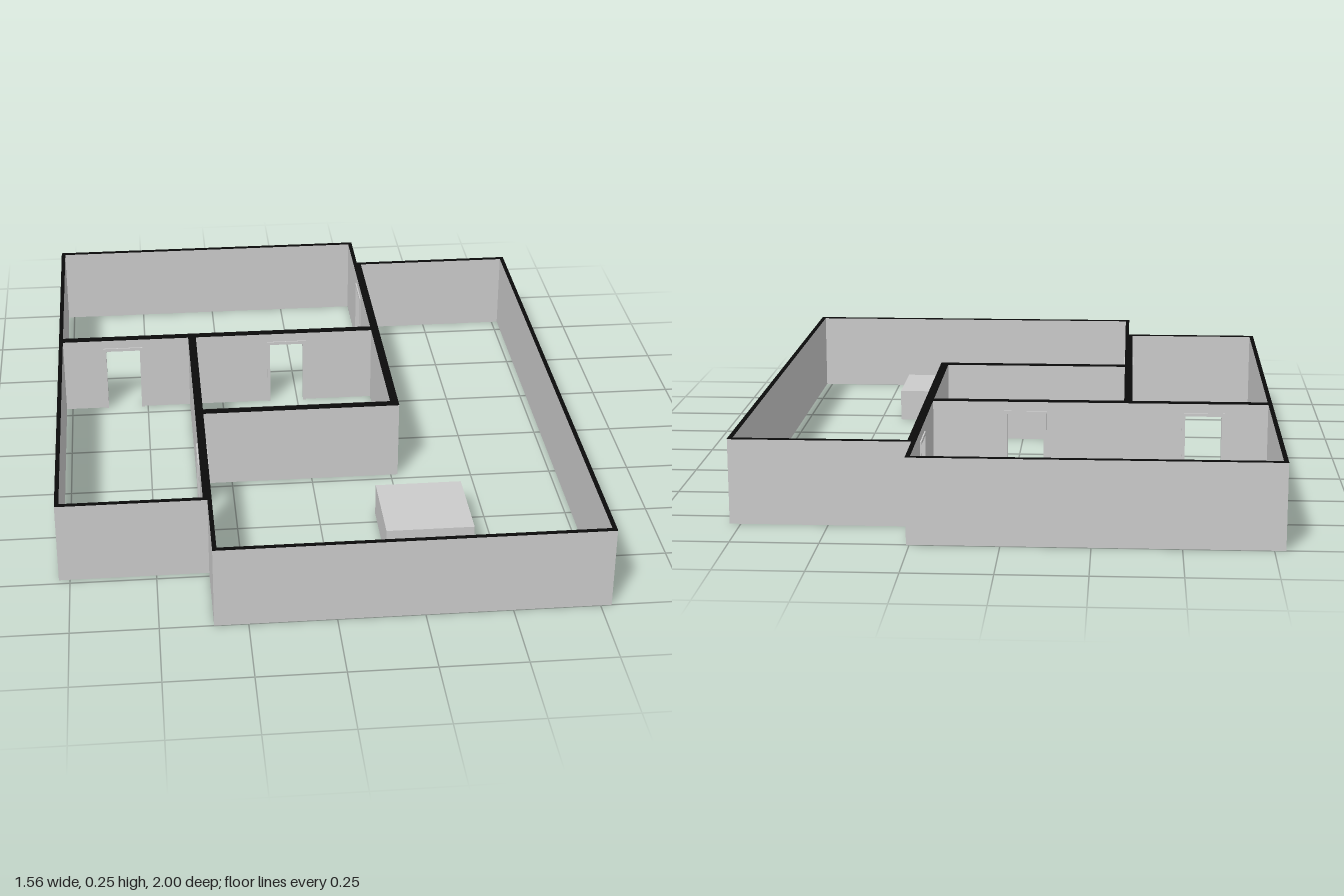
import * as THREE from 'three';

const HEIGHT = 0.25, CAP = 0.002, THICK = 0.0125;
const DOOR_W = 0.13, DOOR_H = 0.22, FRAME = 0.01, FRAME_DEPTH = 0.033;

// Plan corners [x, z], ordered so that each wall thickens into its own room
const rooms = {
  backRoom: [[-0.782, -1], [0.259, -1], [0.259, -0.308], [-0.782, -0.308]],
  sideRoom: [[-0.782, -0.308], [-0.347, -0.308], [-0.347, 0.732], [-0.782, 0.732]],
  innerRoom: [[-0.347, -0.308], [0.259, -0.308], [0.259, 0.213], [-0.347, 0.213]],
  mainRoom: [[0.259, -0.825], [0.782, -0.825], [0.782, 1], [-0.347, 1], [-0.347, 0.213], [0.259, 0.213]],
};

// Door centres on the shared walls
const doors = [
  { x: -0.575, z: -0.308, turn: 0 },
  { x: -0.035, z: -0.308, turn: 0 },
  { x: 0.259, z: -0.655, turn: Math.PI / 2 },
  { x: -0.347, z: 0.422, turn: Math.PI / 2 },
];

const grey = new THREE.MeshStandardMaterial({ color: 0xcccccc });
const black = new THREE.MeshStandardMaterial({ color: 0x0a0a0a });

const toShape = (pts) => new THREE.Shape(pts.map(([x, y]) => new THREE.Vector2(x, y)));

function addMesh(parent, name, geometry, material) {
  const mesh = new THREE.Mesh(geometry, material);
  mesh.name = name;
  parent.add(mesh);
  return mesh;
}

// Strip of wall with mitred ends; turn0 / turn1 are +1 at outer corners, -1 at inward ones
function strip(outline, length, depth, turn0, turn1) {
  const geo = new THREE.ExtrudeGeometry(toShape(outline), { depth, bevelEnabled: false });
  const pos = geo.attributes.position;
  for (let i = 0; i < pos.count; i++) {
    if (pos.getZ(i) < depth / 2) continue;
    const s = pos.getX(i);
    if (s < 1e-5) pos.setX(i, s + depth * turn0);
    else if (s > length - 1e-5) pos.setX(i, s - depth * turn1);
  }
  geo.computeVertexNormals();
  return geo;
}

function buildRoom(name, corners) {
  const room = new THREE.Group();
  room.name = name;
  const n = corners.length;
  const edges = corners.map(([x, z], i) => {
    const [x1, z1] = corners[(i + 1) % n];
    const length = Math.hypot(x1 - x, z1 - z);
    return { x, z, length, dx: (x1 - x) / length, dz: (z1 - z) / length };
  });
  const turn = (a, b) => Math.sign(a.dx * b.dz - a.dz * b.dx);

  edges.forEach((e, i) => {
    const turn0 = turn(edges[(i + n - 1) % n], e);
    const turn1 = turn(e, edges[(i + 1) % n]);
    const top = HEIGHT - CAP;

    // Distances along this wall of the doors that pass through it
    const cuts = doors
      .filter((d) => Math.abs((d.x - e.x) * e.dz - (d.z - e.z) * e.dx) < 0.005)
      .map((d) => (d.x - e.x) * e.dx + (d.z - e.z) * e.dz)
      .filter((s) => s > 0 && s < e.length)
      .sort((a, b) => a - b);

    const outline = [[0, 0]];
    for (const s of cuts) {
      const a = s - DOOR_W / 2, b = s + DOOR_W / 2;
      outline.push([a, 0], [a, DOOR_H], [b, DOOR_H], [b, 0]);
    }
    outline.push([e.length, 0], [e.length, top], [0, top]);
    const capOutline = [[0, top], [e.length, top], [e.length, HEIGHT], [0, HEIGHT]];

    const wall = new THREE.Group();
    wall.name = 'wall';
    addMesh(wall, 'wallPanel', strip(outline, e.length, THICK, turn0, turn1), grey);
    addMesh(wall, 'wallTop', strip(capOutline, e.length, THICK, turn0, turn1), black);
    wall.position.set(e.x, 0, e.z);
    wall.rotation.y = Math.atan2(-e.dz, e.dx);
    room.add(wall);
  });
  return room;
}

// Two jambs and a head, slightly deeper than the double wall
function doorFrameGeometry() {
  const o = DOOR_W / 2, i = o - FRAME, h = DOOR_H - FRAME;
  const shape = toShape([[-o, 0], [-i, 0], [-i, h], [i, h], [i, 0], [o, 0], [o, DOOR_H], [-o, DOOR_H]]);
  return new THREE.ExtrudeGeometry(shape, { depth: FRAME_DEPTH, bevelEnabled: false })
    .translate(0, 0, -FRAME_DEPTH / 2);
}

export function createModel() {
  const model = new THREE.Group();
  model.name = 'floorPlan';

  for (const [name, corners] of Object.entries(rooms)) model.add(buildRoom(name, corners));

  const frameGeo = doorFrameGeometry();
  for (const d of doors) {
    const frame = addMesh(model, 'doorFrame', frameGeo, grey);
    frame.position.set(d.x, 0, d.z);
    frame.rotation.y = d.turn;
  }

  // Low block standing in the main room
  addMesh(model, 'block', new THREE.BoxGeometry(0.26, 0.1, 0.26), grey).position.set(0.303, 0.05, 0.581);

  return model;
}
